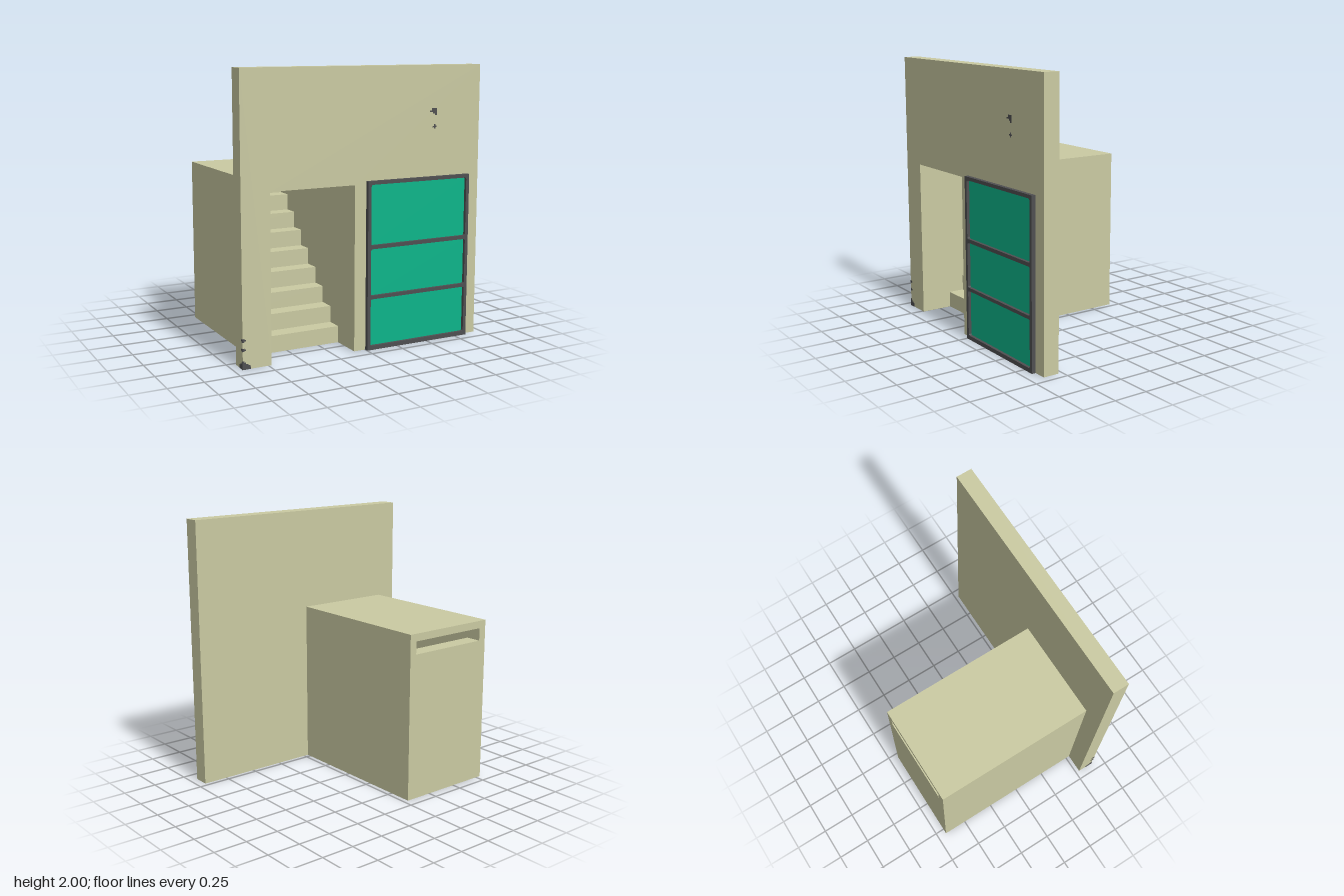
import * as THREE from 'three';

export function createModel() {
  const model = new THREE.Group();
  model.name = 'stairwellEntrance';

  const mat = (name, color) => {
    const m = new THREE.MeshStandardMaterial({ color });
    m.name = name;
    return m;
  };
  const plaster = mat('plaster', 0xcacaa2);
  const charcoal = mat('charcoal', 0x4f4f51);
  const teal = mat('teal', 0x0cb58a);

  const add = (name, geometry, material, parent = model) => {
    const mesh = new THREE.Mesh(geometry, material);
    mesh.name = name;
    parent.add(mesh);
    return mesh;
  };
  const box = (name, x0, x1, y0, y1, z0, z1, material, parent) => {
    const geo = new THREE.BoxGeometry(x1 - x0, y1 - y0, z1 - z0);
    geo.translate((x0 + x1) / 2, (y0 + y1) / 2, (z0 + z1) / 2);
    return add(name, geo, material, parent);
  };
  const polygon = (pts) => new THREE.Shape(pts.map(([x, y]) => new THREE.Vector2(x, y)));
  const extrude = (shape, z0, z1) =>
    new THREE.ExtrudeGeometry(shape, { depth: z1 - z0, bevelEnabled: false, curveSegments: 4 }).translate(0, 0, z0);

  // Slab with the stair opening cut up from its bottom edge
  const open = { x0: -0.73, x1: -0.09, top: 1.187 };
  const portal = (x0, x1, top) => polygon([
    [x0, 0], [open.x0, 0], [open.x0, open.top], [open.x1, open.top],
    [open.x1, 0], [x1, 0], [x1, top], [x0, top],
  ]);
  const wallFront = 0.65, wallBack = 0.53, backEnd = -0.68;
  add('wall', extrude(portal(-0.94, 0.94, 2), wallBack, wallFront), plaster);
  add('stairwellShell', extrude(portal(-0.79, -0.035, 1.243), backEnd, wallBack), plaster);

  // Solid stair flight, profiled from the side and swept across the opening
  const steps = 9, rise = 1.092 / steps, firstRiser = 0.41;
  const run = (firstRiser - backEnd) / steps;
  const profile = [[-firstRiser, 0]];
  for (let i = 0; i < steps; i++) {
    profile.push([-firstRiser + i * run, (i + 1) * rise]);
    profile.push([-firstRiser + (i + 1) * run, (i + 1) * rise]);
  }
  profile.push([-backEnd, 0]);
  const stairs = extrude(polygon(profile), 0, open.x1 - open.x0);
  stairs.rotateY(Math.PI / 2).translate(open.x0, 0, 0);
  add('stairs', stairs, plaster);

  // Door: frame with three rounded openings and recessed panels
  const door = new THREE.Group();
  door.name = 'door';
  model.add(door);
  const frame = polygon([[0, 0], [0.845, 0], [0.845, 1.21], [0, 1.21]]);
  const px0 = 0.025, px1 = 0.82, r = 0.014;
  for (const [y0, y1] of [[0.03, 0.37], [0.395, 0.73], [0.757, 1.185]]) {
    const hole = new THREE.Path();
    hole.moveTo(px0 + r, y0);
    hole.lineTo(px1 - r, y0);
    hole.quadraticCurveTo(px1, y0, px1, y0 + r);
    hole.lineTo(px1, y1 - r);
    hole.quadraticCurveTo(px1, y1, px1 - r, y1);
    hole.lineTo(px0 + r, y1);
    hole.quadraticCurveTo(px0, y1, px0, y1 - r);
    hole.lineTo(px0, y0 + r);
    hole.quadraticCurveTo(px0, y0, px0 + r, y0);
    frame.holes.push(hole);
    box('doorPanel', px0, px1, y0, y1, wallFront, 0.658, teal, door);
  }
  add('doorFrame', extrude(frame, wallFront, 0.68), charcoal, door);

  // Small stepped chips on the wall face: [x0, x1, y0, y1]
  const t = 0.002;
  const chips = [
    [0.53, 0.571, 1.68, 1.697], [0.513, 0.571, 1.67, 1.68],
    [0.54, 0.571, 1.658, 1.67], [0.556, 0.571, 1.645, 1.658],
    [0.54, 0.572, 1.56, 1.57], [0.551, 0.561, 1.549, 1.581],
  ];
  for (const [x0, x1, y0, y1] of chips) box('wallChip', x0, x1, y0, y1, wallFront - t, wallFront + t, charcoal);

  // Chips wrapping the lower corner: [width, y0, y1]
  const cornerChips = [
    [0.056, 0, 0.027], [0.04, 0.027, 0.037], [0.022, 0.037, 0.048], [0.011, 0.048, 0.058],
    [0.024, 0.13, 0.14], [0.014, 0.124, 0.146],
    [0.024, 0.195, 0.205], [0.014, 0.188, 0.212],
  ];
  for (const [w, y0, y1] of cornerChips) {
    box('cornerChip', -0.94 - t, -0.94 + w, y0, y1, wallFront - t, wallFront + t, charcoal);
    box('cornerChipSide', -0.94 - t, -0.94 + t, y0, y1, wallFront - w, wallFront + t, charcoal);
  }
  box('cornerChipBase', -0.94 - t, -0.9, -0.001, 0.002, wallFront - 0.04, wallFront + t, charcoal);

  return model;
}
